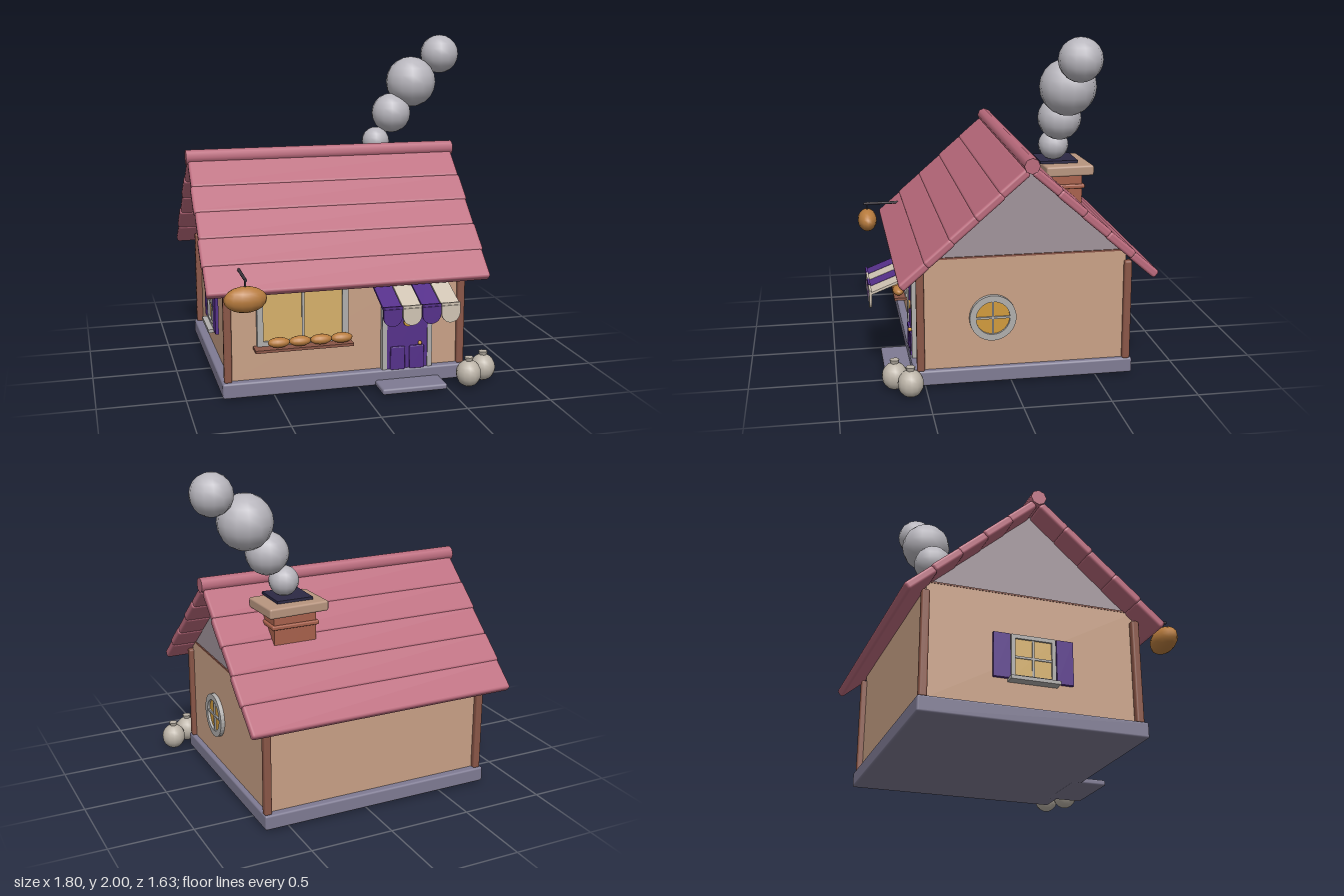
import * as THREE from 'three';
import { RoundedBoxGeometry } from 'three/addons/geometries/RoundedBoxGeometry.js';

const mats = {};
const mat = (color) => (mats[color] ??= new THREE.MeshStandardMaterial({ color }));
const C = {
  wall: 0xc9a186, gable: 0xa0939a, base: 0x7f7b93, wood: 0x8a5647, roof: 0xba6a7c, purple: 0x55308a,
  cream: 0xd0c4b4, frame: 0xb0aeac, glass: 0xd6b06a, gold: 0xd09a3c, bread: 0xb87c3e, brick: 0xa8614c,
  cap: 0xb8957f, dark: 0x2c2944, sack: 0xbcb4a8, iron: 0x3a343c,
};

export function createModel() {
  const root = new THREE.Group();
  const cx = -0.065, cz = -0.08;

  const add = (name, geo, color, x, y, z, parent = root) => {
    const m = new THREE.Mesh(geo, mat(color));
    m.name = name;
    m.position.set(x, y, z);
    parent.add(m);
    return m;
  };
  const group = (name) => {
    const g = new THREE.Group();
    g.name = name;
    root.add(g);
    return g;
  };
  const box = (name, color, w, h, d, x, y, z, parent) =>
    add(name, new THREE.BoxGeometry(w, h, d), color, x, y, z, parent);
  const rbox = (name, color, w, h, d, x, y, z, parent, r = 0.012) =>
    add(name, new RoundedBoxGeometry(w, h, d, 2, r), color, x, y, z, parent);
  const ball = (name, color, rx, ry, rz, x, y, z, parent) => {
    const m = add(name, new THREE.SphereGeometry(1, 14, 10), color, x, y, z, parent);
    m.scale.set(rx, ry, rz);
    return m;
  };

  // Foundation, walls and corner posts
  rbox('foundation', C.base, 1.45, 0.09, 1.28, -0.075, 0.06, -0.075);
  rbox('doorstep', C.base, 0.39, 0.035, 0.22, 0.29, 0.03, 0.61);
  box('walls', C.wall, 1.37, 0.65, 1.19, cx, 0.43, -0.075);
  for (const x of [-0.765, 0.625])
    for (const z of [0.525, -0.68]) rbox('cornerPost', C.wood, 0.045, 0.6, 0.045, x, 0.4, z);

  // Gable: triangular prism running along x
  const tri = new THREE.Shape([[-0.565, 0], [0.565, 0], [0, 0.53]].map((p) => new THREE.Vector2(...p)));
  const gable = add('gable', new THREE.ExtrudeGeometry(tri, { depth: 1.36, bevelEnabled: false }),
    C.gable, cx - 0.68, 0.755, -0.085);
  gable.rotation.y = Math.PI / 2;
  box('gableBeam', C.wood, 1.375, 0.01, 1.12, cx, 0.76, -0.085);

  // Roof: five overlapping boards on each slope and a ridge pole
  const roof = group('roof');
  for (const side of [1, -1])
    for (let i = 0; i < 5; i++) {
      const w = 1.655 + (i % 2) * 0.012;
      const board = rbox('roofBoard', C.roof, w, 0.05, 0.198, cx, 0.707 + i * 0.125,
        -0.085 + side * (0.653 - i * 0.14), roof, 0.016);
      board.rotation.x = side * 0.71;
    }
  const ridge = add('ridge', new THREE.CylinderGeometry(0.045, 0.045, 1.675, 8), C.roof, -0.065, 1.305, -0.085, roof);
  ridge.rotation.z = Math.PI / 2;

  // Chimney and smoke
  const chimney = group('chimney');
  box('chimneyStack', C.brick, 0.26, 0.34, 0.24, 0.335, 1.02, -0.32, chimney);
  rbox('chimneyBand', C.brick, 0.29, 0.025, 0.27, 0.335, 1.11, -0.32, chimney, 0.008);
  const cap = rbox('chimneyCap', C.cap, 0.37, 0.06, 0.28, 0.335, 1.21, -0.35, chimney);
  cap.rotation.y = 0.05;
  box('chimneyFlue', C.dark, 0.22, 0.016, 0.22, 0.325, 1.248, -0.31, chimney);
  const smoke = group('smoke');
  for (const [x, y, z, r] of [[0.34, 1.335, -0.295, 0.088], [0.445, 1.51, -0.305, 0.125],
    [0.58, 1.705, -0.32, 0.16], [0.778, 1.878, -0.34, 0.122]])
    ball('smokePuff', 0xb8b6bd, r, r, r, x, y, z, smoke);

  // Door
  const door = group('door');
  box('doorLeaf', C.purple, 0.25, 0.46, 0.03, 0.29, 0.33, 0.535, door);
  for (const x of [0.152, 0.428]) box('doorJamb', C.frame, 0.028, 0.48, 0.045, x, 0.345, 0.535, door);
  box('doorLintel', C.frame, 0.304, 0.028, 0.045, 0.29, 0.575, 0.535, door);
  for (const x of [0.232, 0.348]) rbox('doorPanel', C.purple, 0.088, 0.14, 0.02, x, 0.17, 0.553, door, 0.006);
  const peep = add('doorPorthole', new THREE.CylinderGeometry(0.025, 0.025, 0.02, 16), C.gold, 0.292, 0.385, 0.55, door);
  peep.rotation.x = Math.PI / 2;
  ball('doorKnob', C.gold, 0.012, 0.012, 0.012, 0.365, 0.255, 0.562, door);

  // Striped awning with a rounded flap hanging from each stripe
  const awning = group('awning');
  const flap = new THREE.Shape();
  flap.moveTo(-0.055, 0.06);
  flap.lineTo(-0.055, 0);
  flap.absarc(0, 0, 0.055, Math.PI, Math.PI * 2, false);
  flap.lineTo(0.055, 0.06);
  const flapGeo = new THREE.ExtrudeGeometry(flap, { depth: 0.014, bevelEnabled: false, curveSegments: 8 });
  for (let i = 0; i < 4; i++) {
    const color = i % 2 ? C.cream : C.purple, x = 0.124 + i * 0.114;
    const stripe = box('awningStripe', color, 0.109, 0.014, 0.28, x, 0.59, 0.67, awning);
    stripe.rotation.x = 0.37;
    add('awningFlap', flapGeo, color, x, 0.5, 0.787, awning);
  }

  // Shop window with a shelf of loaves
  const shop = group('shopWindow');
  box('shopGlass', C.glass, 0.47, 0.34, 0.02, -0.33, 0.49, 0.525, shop);
  for (const x of [-0.58, -0.083]) box('shopFrameSide', C.frame, 0.035, 0.38, 0.04, x, 0.49, 0.53, shop);
  for (const y of [0.317, 0.668]) box('shopFrameRail', C.frame, 0.53, 0.03, 0.04, -0.332, y, 0.53, shop);
  box('shopMullion', C.frame, 0.014, 0.34, 0.03, -0.33, 0.49, 0.53, shop);
  box('shopShelf', C.wood, 0.57, 0.016, 0.09, -0.335, 0.298, 0.575, shop);
  for (let i = 0; i < 4; i++)
    ball('loaf', C.bread, 0.064, 0.029, 0.036, -0.482 + i * 0.122, 0.337, 0.59, shop);

  // Hanging loaf sign on a rod
  const rod = add('signRod', new THREE.CylinderGeometry(0.009, 0.009, 0.25, 8), C.iron, -0.695, 0.76, 0.642);
  rod.rotation.x = Math.PI / 2;
  box('signHanger', C.iron, 0.008, 0.06, 0.008, -0.695, 0.735, 0.745);
  ball('signLoaf', C.bread, 0.12, 0.073, 0.064, -0.695, 0.648, 0.745);

  // Round window on the left wall
  const round = group('roundWindow');
  round.position.set(0.62, 0.4, 0.11);
  round.rotation.y = Math.PI / 2;
  const ring = new THREE.Shape().absarc(0, 0, 0.135, 0, Math.PI * 2);
  ring.holes.push(new THREE.Path().absarc(0, 0, 0.098, 0, Math.PI * 2, true));
  add('roundFrame', new THREE.ExtrudeGeometry(ring, { depth: 0.025, bevelEnabled: false, curveSegments: 16 }),
    C.frame, 0, 0, 0, round);
  add('roundGlass', new THREE.CylinderGeometry(0.1, 0.1, 0.02, 24), C.gold, 0, 0, 0, round).rotation.x = Math.PI / 2;
  box('roundBarAcross', C.frame, 0.2, 0.012, 0.015, 0, 0, 0.013, round);
  box('roundBarUp', C.frame, 0.012, 0.2, 0.015, 0, 0, 0.013, round);

  // Shuttered window on the right wall
  const side = group('shutteredWindow');
  side.position.set(-0.75, 0.39, -0.08);
  side.rotation.y = -Math.PI / 2;
  box('sideGlass', C.glass, 0.22, 0.22, 0.02, 0, 0, 0.005, side);
  for (const s of [-1, 1]) {
    box('sideFrameSide', C.frame, 0.022, 0.25, 0.035, s * 0.115, 0, 0.01, side);
    box('sideFrameRail', C.frame, 0.25, 0.022, 0.035, 0, s * 0.115, 0.01, side);
    box('shutter', C.purple, 0.095, 0.25, 0.02, s * 0.178, 0, 0.018, side);
  }
  box('sideBarUp', C.frame, 0.012, 0.22, 0.022, 0, 0, 0.01, side);
  box('sideBarAcross', C.frame, 0.22, 0.012, 0.022, 0, 0, 0.01, side);
  box('sideSill', C.frame, 0.28, 0.02, 0.06, 0, -0.13, 0.03, side);

  // Flour sacks with tied necks
  for (const [x, z] of [[0.63, 0.675], [0.75, 0.595]]) {
    const sack = group('flourSack');
    ball('sackBody', C.sack, 0.074, 0.08, 0.074, x, 0.085, z, sack);
    add('sackNeck', new THREE.CylinderGeometry(0.028, 0.02, 0.03, 6), C.sack, x, 0.168, z, sack);
  }
  return root;
}
